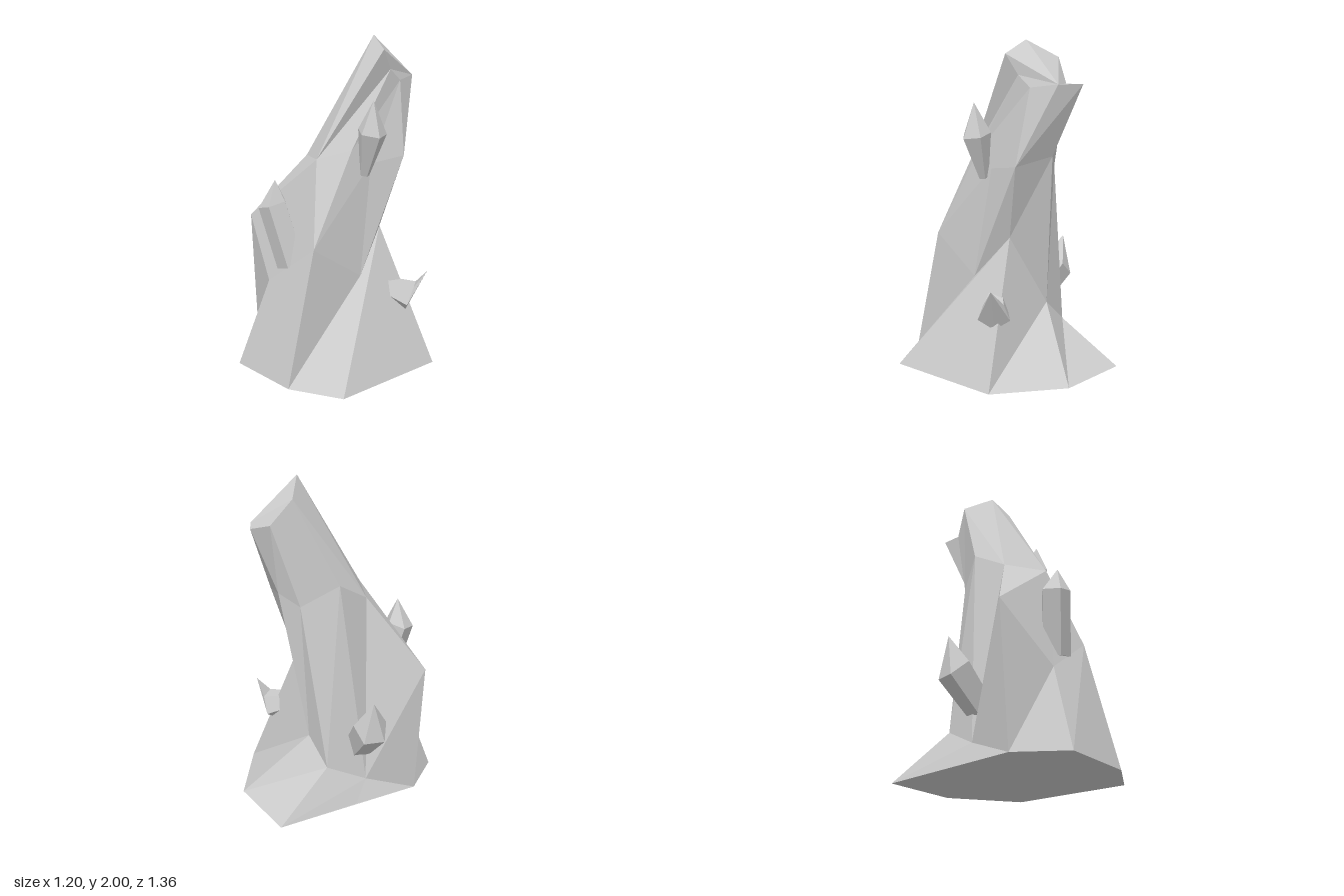
import * as THREE from 'three';

const material = () => new THREE.MeshStandardMaterial({ color: 0xcccccc, flatShading: true });

// Collects triangles of [x, y, z] points into a faceted mesh.
function facetMesh(name, triangles) {
  const geometry = new THREE.BufferGeometry();
  geometry.setAttribute('position', new THREE.Float32BufferAttribute(triangles.flat(2), 3));
  geometry.computeVertexNormals();
  const mesh = new THREE.Mesh(geometry, material());
  mesh.name = name;
  return mesh;
}

// Skins stacked rings of equal length; cells listed in flips use the other diagonal.
function skin(rings, flips = []) {
  const triangles = [];
  for (let i = 0; i < rings.length - 1; i++) {
    const n = rings[i].length;
    for (let j = 0; j < n; j++) {
      const k = (j + 1) % n;
      const a = rings[i][j], b = rings[i][k], c = rings[i + 1][k], d = rings[i + 1][j];
      if (flips.includes(i * n + j)) triangles.push([b, a, c], [a, d, c]);
      else triangles.push([b, a, d], [b, d, c]);
    }
  }
  return triangles;
}

// Closes a ring with a fan from one of its corners.
function fan(ring, start, up) {
  const triangles = [], n = ring.length;
  for (let i = 1; i < n - 1; i++) {
    const p = ring[(start + i) % n], q = ring[(start + i + 1) % n];
    triangles.push(up ? [ring[start], q, p] : [ring[start], p, q]);
  }
  return triangles;
}

// Small pointed shard: a tapered prism from root to shoulder, then a tip.
function shard(name, root, shoulder, tip, rootRadius, radius, turn) {
  const sides = 5;
  const axis = new THREE.Vector3(...shoulder).sub(new THREE.Vector3(...root)).normalize();
  const tilt = new THREE.Quaternion().setFromUnitVectors(new THREE.Vector3(0, 1, 0), axis);
  const ring = (centre, r) => Array.from({ length: sides }, (_, i) => {
    const t = turn - (i / sides) * Math.PI * 2;
    return new THREE.Vector3(Math.sin(t) * r, 0, Math.cos(t) * r)
      .applyQuaternion(tilt).add(new THREE.Vector3(...centre)).toArray();
  });
  const low = ring(root, rootRadius), high = ring(shoulder, radius);
  const point = high.map((p, i) => [high[(i + 1) % sides], p, tip]);
  return facetMesh(name, [...skin([low, high]), ...fan(low, 0, false), ...point]);
}

export function createModel() {
  const group = new THREE.Group();
  group.name = 'crystalRock';

  // Main rock: four irregular rings, from the back round by the left side
  const base = [
    [0.11, 0, -0.68], [0.48, 0, -0.38], [0.6, 0, 0.08], [0.15, 0, 0.68],
    [-0.19, 0, 0.62], [-0.58, 0, 0.33], [-0.55, 0, 0], [-0.25, 0, -0.3],
  ];
  const skirt = [
    [-0.07, 0.25, -0.34], [0.08, 0.4, -0.24], [0.24, 0.84, -0.02], [0.16, 0.58, 0.2],
    [-0.07, 0.8, 0.455], [-0.4, 0.53, 0.25], [-0.6, 0.86, -0.05], [-0.28, 0.13, -0.2],
  ];
  const waist = [
    [0.11, 1.26, -0.28], [0.25, 1.33, -0.27], [0.38, 1.28, -0.06], [0.2, 1.25, 0.09],
    [0.1, 1.34, 0.18], [-0.1, 1.29, 0.235], [-0.22, 1.27, -0.025], [-0.11, 1.39, -0.21],
  ];
  const crown = [
    [0.26, 1.75, -0.345], [0.34, 1.75, -0.44], [0.395, 1.75, -0.3], [0.34, 1.73, -0.14],
    [0.29, 1.8, -0.07], [0.26, 1.92, 0.005], [0.18, 2, -0.11], [0.14, 1.9, -0.3],
  ];
  group.add(facetMesh('mainRock', [
    ...skin([base, skirt, waist, crown], [6, 12, 18, 21, 22]),
    ...fan(base, 0, false),
    ...fan(crown, 2, true),
  ]));

  // Shards growing out of the sides
  group.add(
    shard('frontShard', [-0.25, 0.65, 0.27], [-0.36, 1.02, 0.27], [-0.34, 1.17, 0.29], 0.09, 0.09, 0),
    shard('leftShard', [0.27, 0.48, 0.06], [0.45, 0.42, 0.06], [0.55, 0.59, 0.07], 0.06, 0.1, 0.3),
    shard('upperShard', [0.17, 1.19, 0.14], [0.22, 1.45, 0.18], [0.23, 1.64, 0.19], 0.03, 0.09, 0.7),
    shard('backShard', [-0.22, 0.34, -0.15], [-0.335, 0.54, -0.3], [-0.36, 0.73, -0.34], 0.09, 0.11, 0.6),
  );
  return group;
}
